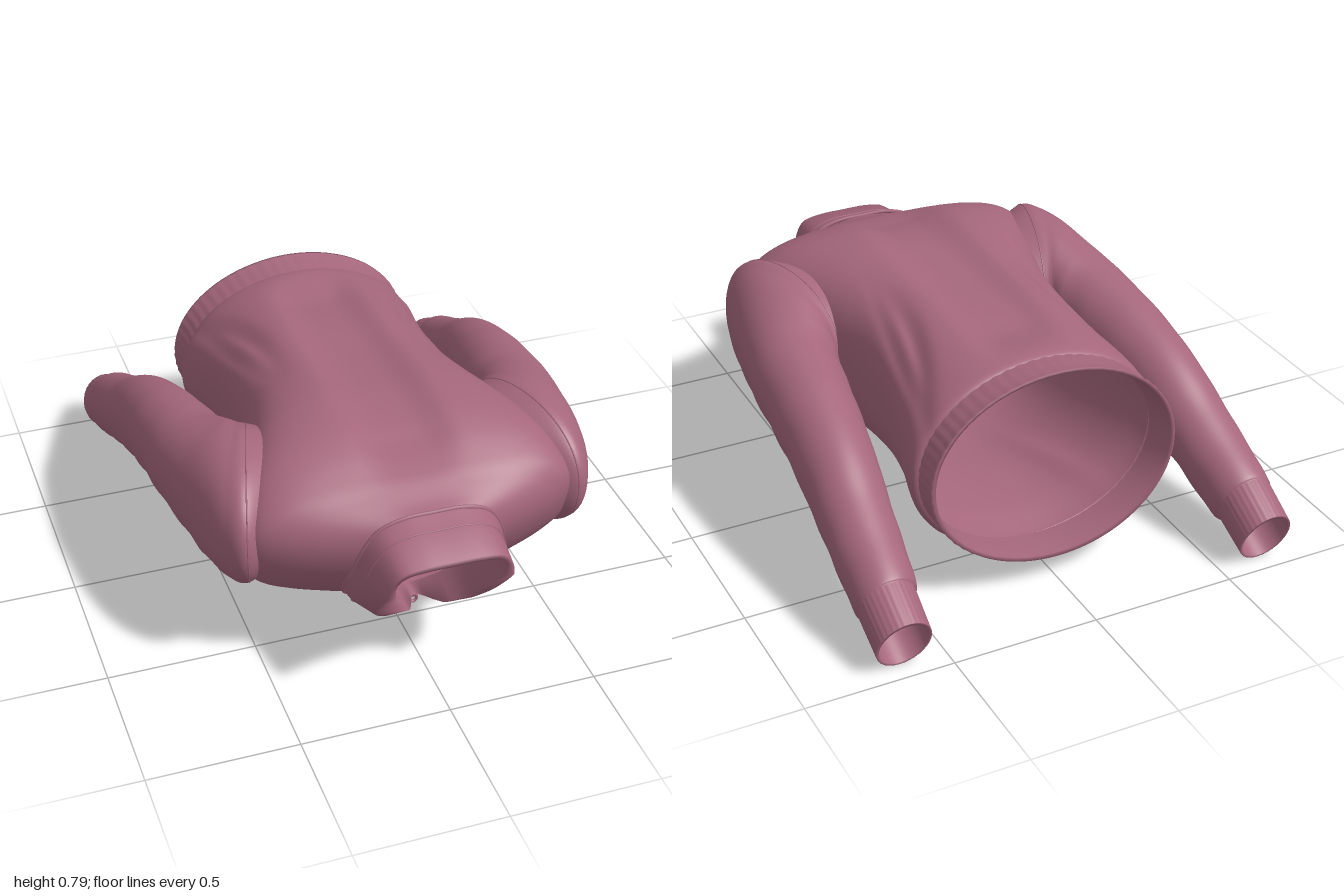
import * as THREE from 'three';

const V = (x, y, z) => new THREE.Vector3(x, y, z);
const bump = (d, r) => Math.exp(-(d * d) / (r * r));

// Skin a list of closed rings of points
function loft(rings, flip = false) {
  const n = rings[0].length, pos = [], idx = [];
  rings.forEach(r => r.forEach(p => pos.push(p.x, p.y, p.z)));
  for (let i = 0; i < rings.length - 1; i++) {
    for (let j = 0; j < n; j++) {
      const k = (j + 1) % n;
      const a = i * n + j, b = i * n + k, c = a + n, d = b + n;
      if (flip) idx.push(a, d, b, a, c, d);
      else idx.push(a, b, d, a, d, c);
    }
  }
  const g = new THREE.BufferGeometry();
  g.setAttribute('position', new THREE.Float32BufferAttribute(pos, 3));
  g.setIndex(idx);
  g.computeVertexNormals();
  return g;
}

// Smoothly resample rows of section parameters
function resample(rows, steps) {
  const out = [], at = i => rows[Math.max(0, Math.min(rows.length - 1, i))];
  const total = (rows.length - 1) * steps;
  for (let s = 0; s <= total; s++) {
    const i = Math.min(Math.floor(s / steps), rows.length - 2), t = s / steps - i;
    out.push(rows[i].map((p1, c) => {
      const p0 = at(i - 1)[c], p2 = at(i + 1)[c], p3 = at(i + 2)[c];
      return p1 + 0.5 * t * (p2 - p0 + t * (2 * p0 - 5 * p1 + 4 * p2 - p3 + t * (3 * (p1 - p2) + p3 - p0)));
    }));
  }
  return out;
}

const pw = (v, p) => Math.sign(v) * Math.pow(Math.abs(v), p);
const sweep = f => 1 - (1 - f) * (1 - f);

// Body section: z at top, z at bottom, half width, top y, bottom y, roundness above, roundness below
function bodyRing([zt, zb, w, yt, yb, pt, pb], n, rib = 0) {
  return Array.from({ length: n }, (_, j) => {
    const t = (j + 0.5) / n * Math.PI * 2, k = 1 + rib * Math.sin(t * n / 4);
    const p = t < Math.PI ? pt : pb;
    const s = pw(Math.sin(t), p), f = sweep((s + 1) / 2);
    return V(w * k * pw(Math.cos(t), p), (yt + yb) / 2 + (yt - yb) / 2 * s * k, zb + (zt - zb) * f);
  });
}

const torsoRows = [
  [-0.60, -0.60, 0.425, 0.745, 0.075, 1, 1], [-0.565, -0.56, 0.447, 0.758, 0.05, 0.95, 1],
  [-0.4, -0.4, 0.41, 0.776, 0.085, 0.82, 0.95], [-0.2, -0.2, 0.385, 0.79, 0.105, 0.74, 0.9],
  [0, 0, 0.39, 0.795, 0.105, 0.72, 0.88], [0.15, 0.13, 0.42, 0.8, 0.11, 0.68, 0.86],
  [0.3, 0.24, 0.465, 0.802, 0.13, 0.64, 0.85], [0.45, 0.34, 0.515, 0.787, 0.155, 0.6, 0.85],
  [0.56, 0.42, 0.545, 0.757, 0.175, 0.6, 0.85], [0.66, 0.49, 0.548, 0.712, 0.195, 0.66, 0.85],
  [0.72, 0.53, 0.475, 0.682, 0.202, 0.75, 0.85], [0.77, 0.565, 0.365, 0.66, 0.205, 0.8, 0.85],
  [0.81, 0.59, 0.258, 0.648, 0.203, 0.85, 0.85],
];

// Sleeve section: inner x, inner z, outer x, outer z, top y, bottom y, backward lean of the top, roundness
const sleeveRows = [
  [0.30, 0.14, 0.44, 0.60, 0.70, 0.32, 0, 1], [0.395, 0.10, 0.56, 0.67, 0.732, 0.285, 0, 0.94],
  [0.412, 0.09, 0.623, 0.60, 0.728, 0.285, 0, 0.92], [0.417, 0.08, 0.663, 0.46, 0.717, 0.29, 0, 0.92],
  [0.42, 0.05, 0.693, 0.29, 0.69, 0.30, 0, 0.94], [0.43, 0, 0.722, 0.08, 0.655, 0.31, 0, 0.96],
  [0.455, -0.18, 0.735, -0.18, 0.605, 0.28, -0.02, 1], [0.485, -0.39, 0.742, -0.39, 0.525, 0.225, -0.04, 1],
  [0.515, -0.6, 0.75, -0.6, 0.402, 0.16, -0.04, 1], [0.54, -0.8, 0.752, -0.8, 0.298, 0.07, -0.042, 1],
  [0.555, -0.835, 0.748, -0.835, 0.272, 0.072, -0.04, 1],
];

function sleeveRing([xi, zi, xo, zo, yt, yb, lean, p], side, n, scale = 1, fold = () => 0) {
  return Array.from({ length: n }, (_, j) => {
    const t = (j + 0.5) / n * Math.PI * 2, k = scale * (1 + fold(t));
    const c = pw(Math.cos(t), p) * k, s = pw(Math.sin(t), p) * k;
    return V(side * ((xi + xo) / 2 + (xo - xi) / 2 * c),
      (yt + yb) / 2 + (yt - yb) / 2 * s, (zi + zo) / 2 + (zo - zi) / 2 * c + lean * s);
  });
}

// Closed mirrored outline from half of its points, given as x, y
function collarRing(half, zOf, n = 96) {
  const left = half.slice(1, -1).map(([x, y]) => [-x, y]).reverse();
  const pts = [...half, ...left].map(([x, y]) => V(x, y, 0));
  const ring = new THREE.CatmullRomCurve3(pts, true).getPoints(n).slice(0, n);
  return ring.map(p => V(p.x, p.y, zOf(p.y))).reverse();
}

// Depth of the collar's free edge by height: y, z
const edge = [[0.2, 0.615], [0.235, 0.73], [0.255, 0.785], [0.37, 0.88], [0.48, 0.975], [0.6, 1]];
function tipZ(y) {
  const i = Math.max(1, edge.findIndex(e => e[0] >= y));
  const [y0, z0] = edge[i - 1], [y1, z1] = edge[i];
  return THREE.MathUtils.mapLinear(y, y0, y1, z0, z1);
}

export function createModel() {
  const model = new THREE.Group();
  const cloth = new THREE.MeshStandardMaterial({ color: 0xa5677c, side: THREE.DoubleSide });
  cloth.name = 'dusty rose';
  const add = (name, geo, parent = model) => {
    const m = new THREE.Mesh(geo, cloth);
    m.name = name;
    parent.add(m);
    return m;
  };
  const seam = (name, ring, r, parent) => add(name,
    new THREE.TubeGeometry(new THREE.CatmullRomCurve3(ring, true), 96, r, 6, true), parent);

  // Torso with a hollow down the spine and drapes fanning out to the hem corners
  const torso = resample(torsoRows, 6).map(row => bodyRing(row, 144));
  torso.forEach(ring => ring.forEach(p => {
    const ends = THREE.MathUtils.smoothstep(p.z, -0.58, -0.35) * (1 - THREE.MathUtils.smoothstep(p.z, 0.5, 0.72));
    const x = Math.abs(p.x), low = bump(p.z + 0.27, 0.24);
    if (p.y > 0.45) {
      p.y -= 0.038 * ends * Math.exp(-Math.pow(x / 0.13, 4));
      p.y -= 0.024 * low * bump(x - 0.255 - 0.4 * p.z * p.z, 0.03);
      p.y -= 0.02 * low * bump(x - 0.33 + 0.15 * (p.z + 0.2), 0.022);
    } else {
      p.y += 0.012 * low * bump(x - 0.22 + 0.3 * (p.z + 0.3), 0.04);
    }
  }));
  add('torso', loft(torso));

  // Ribbed hem band, turned in at the open end
  const hemRows = [
    [-0.58, -0.58, 0.42, 0.742, 0.08, 1, 1], [-0.585, -0.59, 0.43, 0.75, 0.072, 1, 1],
    [-0.65, -0.67, 0.428, 0.747, 0.08, 1, 1], [-0.70, -0.73, 0.44, 0.757, 0.085, 1, 1],
    [-0.71, -0.745, 0.437, 0.757, 0.09, 1, 1], [-0.705, -0.74, 0.425, 0.745, 0.102, 1, 1],
    [-0.60, -0.60, 0.41, 0.73, 0.095, 1, 1],
  ];
  add('hemBand', loft(hemRows.map((r, i) => bodyRing(r, 240, i > 0 && i < 4 ? 0.003 : 0)), true));

  // Sleeves with cuffs
  for (const side of [1, -1]) {
    const arm = new THREE.Group();
    arm.name = side > 0 ? 'leftSleeve' : 'rightSleeve';
    model.add(arm);
    const rows = resample(sleeveRows, 9);
    const rings = rows.map((row, i) => {
      const u = i / (rows.length - 1);
      const elbow = bump(u - 0.58, 0.1), wrist = bump(u - 0.82, 0.1), pit = bump(u - 0.36, 0.1);
      return sleeveRing(row, side, 64, 1, t =>
        0.028 * elbow * Math.sin(u * 75 + 1.5 * Math.cos(t)) * (0.55 - 0.45 * Math.sin(t))
        + 0.022 * wrist * Math.sin(u * 85 + 2 * Math.sin(t)) * (0.6 - 0.4 * Math.sin(t))
        + 0.03 * pit * Math.sin(u * 60 + 2 * Math.cos(t)) * Math.max(0, -Math.sin(t)));
    });
    add('sleeve', loft(rings, side > 0), arm);
    seam('shoulderSeam', sleeveRing(sleeveRows[1], side, 48), 0.0025, arm);

    const start = [0.555, -0.83, 0.748, -0.83, 0.272, 0.07, -0.04, 1];
    const end = [0.56, -0.965, 0.748, -0.965, 0.2, 0, -0.035, 1];
    const ribs = t => 0.006 * Math.sin(t * 32);
    add('cuff', loft([
      sleeveRing(start, side, 128, 0.94), sleeveRing(start, side, 128, 1, ribs),
      sleeveRing(end, side, 128, 0.985, ribs), sleeveRing(end, side, 128, 0.97),
      sleeveRing(end, side, 128, 0.89), sleeveRing(start, side, 128, 0.88),
    ], side > 0), arm);
  }

  // Stand collar, arched at the nape, its lapels jutting out over a recessed front opening
  const baseZ = y => 0.59 + 0.22 * sweep((y - 0.2) / 0.45);
  const bandZ = y => baseZ(y) + (tipZ(Math.min(y, 0.59)) - baseZ(y)) * 0.35;
  const base = [[0, 0.65], [0.1, 0.647], [0.18, 0.618], [0.228, 0.55], [0.252, 0.46], [0.262, 0.37], [0.245, 0.3], [0.14, 0.235], [0, 0.203]];
  const band = [[0, 0.628], [0.1, 0.625], [0.17, 0.6], [0.213, 0.54], [0.237, 0.46], [0.25, 0.37], [0.237, 0.3], [0.135, 0.235], [0, 0.204]];
  const tip = [[0, 0.595], [0.1, 0.593], [0.165, 0.578], [0.196, 0.535], [0.21, 0.465], [0.212, 0.38], [0.19, 0.3], [0.09, 0.235], [0, 0.208]];
  const hole = [[0, 0.57], [0.09, 0.569], [0.15, 0.56], [0.178, 0.535], [0.18, 0.475], [0.148, 0.385], [0.105, 0.305], [0.045, 0.242], [0, 0.215]];
  const throat = hole.map(([x, y]) => [x * 1.06, y + (y > 0.45 ? 0.012 : 0)]);
  add('collar', loft([
    collarRing(base, baseZ), collarRing(band, bandZ), collarRing(tip, tipZ),
    collarRing(hole, y => tipZ(y) - 0.004), collarRing(throat, y => baseZ(y) - 0.01),
  ]));
  seam('collarSeam', collarRing(base, baseZ, 48), 0.007);
  seam('collarBandSeam', collarRing(band, bandZ, 48), 0.003);

  // Zip slider and pull at the point of the opening
  const slider = add('zipSlider', new THREE.BoxGeometry(0.035, 0.03, 0.035));
  slider.position.set(0, 0.2, 0.62);
  const ring = add('zipRing', new THREE.TorusGeometry(0.015, 0.005, 8, 20));
  ring.position.set(0, 0.185, 0.64);
  return model;
}
